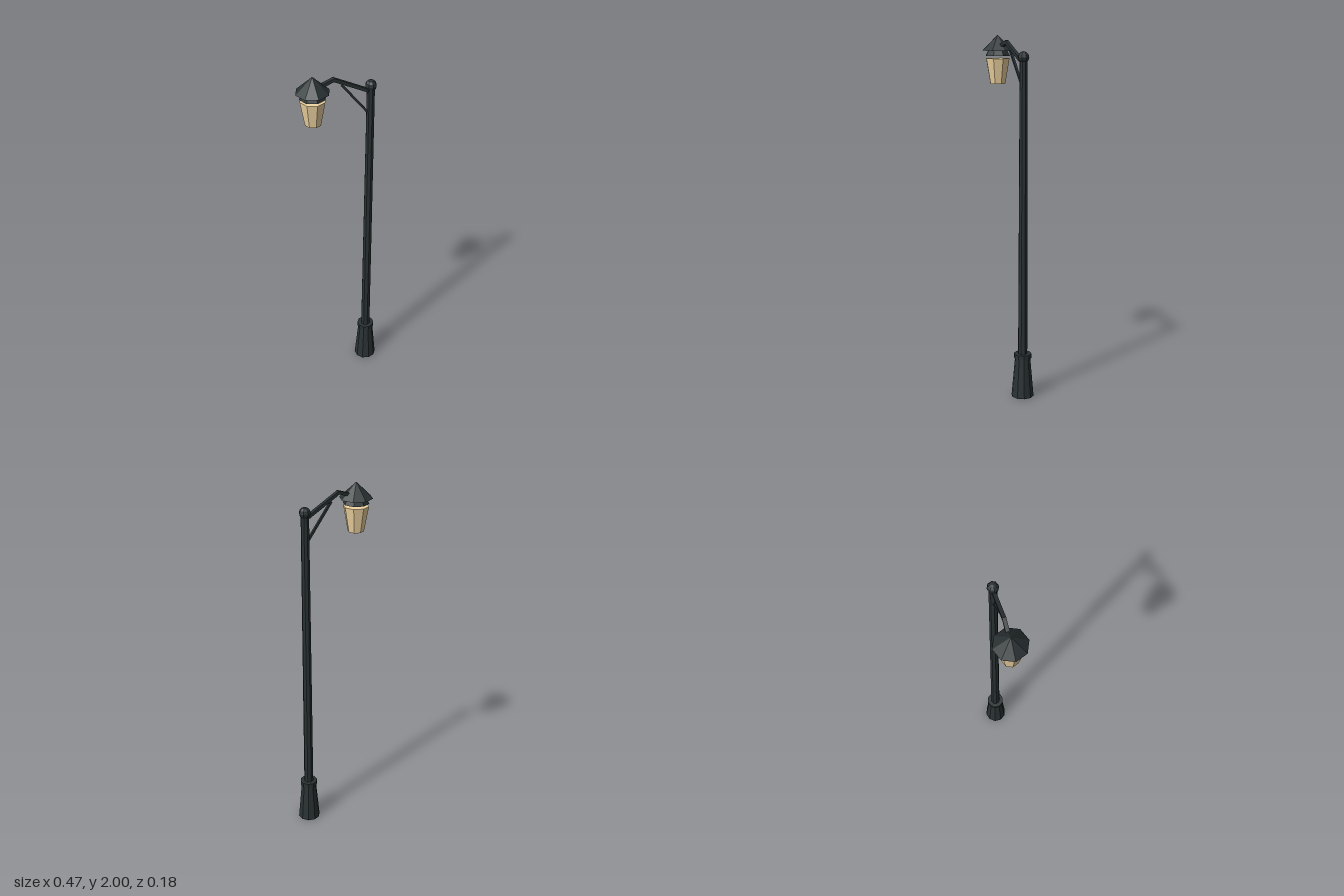
import * as THREE from 'three';

export function createModel() {
  const model = new THREE.Group();
  const iron = new THREE.MeshStandardMaterial({ color: 0x2a3234, flatShading: true });
  const glow = new THREE.MeshStandardMaterial({ color: 0xf0d5a2, flatShading: true });
  const POST_X = 0.172;
  const LAMP_X = -0.144;

  const add = (name, geometry, x, y, material = iron) => {
    const mesh = new THREE.Mesh(geometry, material);
    mesh.name = name;
    mesh.position.set(x, y, 0);
    model.add(mesh);
    return mesh;
  };

  // Upright tapered section between two heights
  const taper = (name, x, y0, y1, r0, r1, sides, material) =>
    add(name, new THREE.CylinderGeometry(r1, r0, y1 - y0, sides), x, (y0 + y1) / 2, material);

  // Square bar between two points in the x-y plane
  const bar = (name, [x0, y0], [x1, y1], thick, depth) => {
    const length = Math.hypot(x1 - x0, y1 - y0);
    const mesh = add(name, new THREE.BoxGeometry(length, thick, depth), (x0 + x1) / 2, (y0 + y1) / 2);
    mesh.rotation.z = Math.atan2(y1 - y0, x1 - x0);
  };

  // Post
  taper('base', POST_X, 0, 0.228, 0.063, 0.043, 10);
  taper('baseCollar', POST_X, 0.225, 0.25, 0.049, 0.049, 10);
  taper('pole', POST_X, 0.24, 1.88, 0.027, 0.022, 8);
  add('finial', new THREE.SphereGeometry(0.031, 8, 6), POST_X, 1.89);

  // Bracket
  bar('arm', [POST_X, 1.857], [-0.032, 1.963], 0.018, 0.02);
  bar('armTip', [-0.026, 1.965], [-0.13, 1.93], 0.018, 0.02);
  bar('strut', [0.165, 1.727], [0.013, 1.922], 0.012, 0.012);

  // Lantern
  taper('roof', LAMP_X, 1.915, 2.0, 0.09, 0, 8);
  taper('lampCollar', LAMP_X, 1.886, 1.918, 0.071, 0.054, 8);
  taper('lampGlass', LAMP_X, 1.733, 1.872, 0.044, 0.069, 8, glow);

  return model;
}
